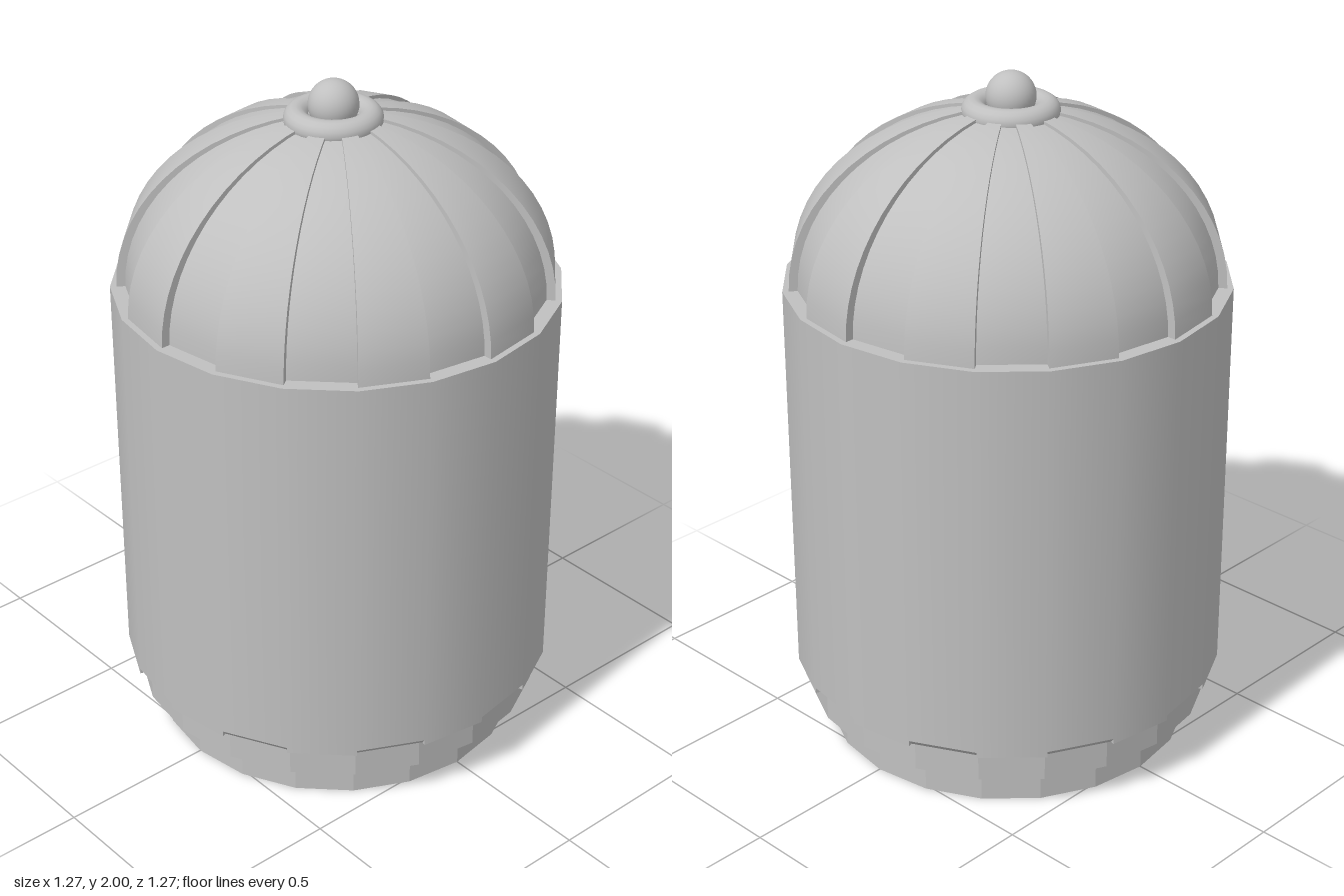
import * as THREE from 'three';
import { toCreasedNormals } from 'three/addons/utils/BufferGeometryUtils.js';

const SIDES = 20;
const STEP = (Math.PI * 2) / SIDES;
const BODY_R = 0.635, BODY_TOP = 1.4, BODY_BOTTOM = 0.205;

export function createModel() {
  const model = new THREE.Group();
  const grey = new THREE.MeshStandardMaterial({ color: 0xc0c0c0, side: THREE.DoubleSide });
  grey.name = 'grey';

  const add = (name, geometry, parent = model) => {
    const mesh = new THREE.Mesh(geometry, grey);
    mesh.name = name;
    parent.add(mesh);
    return mesh;
  };
  const vec = (list) => list.map(([x, y]) => new THREE.Vector2(x, y));
  const group = (name) => {
    const g = new THREE.Group();
    g.name = name;
    model.add(g);
    return g;
  };
  // Flat radial wall standing at an angle measured from the front
  const wall = (points, angle) =>
    new THREE.ShapeGeometry(new THREE.Shape(points)).rotateY(angle - Math.PI / 2);

  // Faceted foot and collar
  const drum = (name, r, y0, y1) => {
    const g = new THREE.CylinderGeometry(r, r, y1 - y0, SIDES).translate(0, (y0 + y1) / 2, 0);
    add(name, toCreasedNormals(g, 0.1));
  };
  drum('foot', 0.54, 0, 0.108);
  drum('collar', 0.6, 0.108, 0.21);

  // Smooth tall body and its flat upper rim
  const chamferTop = 0.222;
  add('body', new THREE.LatheGeometry(vec([[BODY_R, chamferTop], [BODY_R, BODY_TOP]]), SIDES));
  add('upperRim', new THREE.LatheGeometry(vec([[BODY_R, BODY_TOP], [0.5, BODY_TOP]]), SIDES));

  // Lower edge of the body: every other side is chamfered
  const lowerEdge = group('lowerEdge');
  const chamferR = BODY_R - 0.014;
  for (let i = 0; i < SIDES; i++) {
    const r = i % 2 === 0 ? chamferR : BODY_R;
    const a = i * STEP;
    add('edgeFace', new THREE.LatheGeometry(vec([[r, BODY_BOTTOM], [BODY_R, chamferTop]]), 1, a, STEP), lowerEdge);
    add('underside', new THREE.LatheGeometry(vec([[0.55, BODY_BOTTOM], [r, BODY_BOTTOM]]), 1, a, STEP), lowerEdge);
    add('notchEnd', wall(vec([[chamferR, BODY_BOTTOM], [BODY_R, BODY_BOTTOM], [BODY_R, chamferTop]]), a), lowerEdge);
  }

  // Dome with alternating raised gores
  const domeProfile = (radius, height) => {
    const points = [];
    for (let i = 0; i <= 16; i++) {
      const t = (i / 16) * (Math.PI / 2);
      points.push(new THREE.Vector2(Math.max(radius * Math.cos(t), 0), BODY_TOP + height * Math.sin(t)));
    }
    return points;
  };
  const low = domeProfile(0.592, 0.497);
  const high = domeProfile(0.617, 0.505);
  add('dome', new THREE.LatheGeometry(low, SIDES));
  const gores = group('raisedGores');
  for (let i = 0; i < SIDES; i += 2) {
    add('gore', new THREE.LatheGeometry(high, 1, i * STEP, STEP), gores);
    for (const a of [i * STEP, (i + 1) * STEP]) {
      add('goreSide', wall([...high, ...[...low].reverse()], a), gores);
    }
  }

  // Finial: a ring with a ball, sitting slightly off centre
  const finial = group('finial');
  finial.position.set(-0.013, 1.89, 0);
  add('finialRing', new THREE.TorusGeometry(0.102, 0.035, 16, 40).rotateX(Math.PI / 2), finial);
  add('finialBall', new THREE.SphereGeometry(0.07, 32, 20).translate(0, 0.04, 0), finial);

  return model;
}
